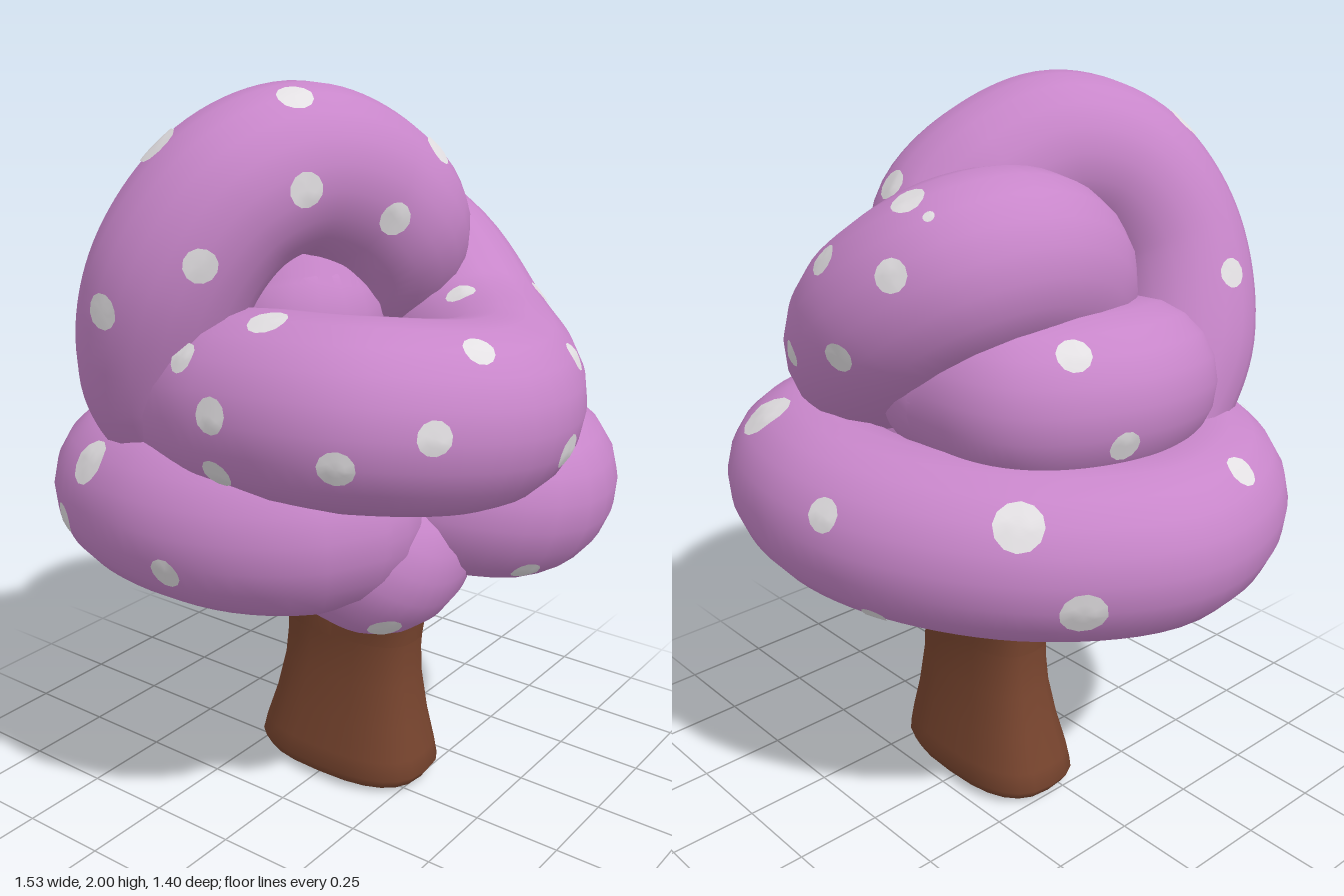
import * as THREE from 'three';

const V = (x, y, z) => new THREE.Vector3(x, y, z);

// Skin through rounded cross-sections: [y, centreX, halfX, halfZ]
function loft(rows, sides = 24) {
  const pos = [], idx = [];
  const soft = (c) => Math.sign(c) * Math.pow(Math.abs(c), 0.75);
  rows.forEach(([y, cx, hx, hz], i) => {
    for (let j = 0; j < sides; j++) {
      const a = (j / sides) * Math.PI * 2;
      pos.push(cx + hx * soft(Math.cos(a)), y, -0.06 + hz * soft(Math.sin(a)));
      if (i === rows.length - 1) continue;
      const p = i * sides + j, q = i * sides + ((j + 1) % sides);
      idx.push(p, p + sides, q, q, p + sides, q + sides);
    }
  });
  const g = new THREE.BufferGeometry();
  g.setAttribute('position', new THREE.Float32BufferAttribute(pos, 3));
  g.setIndex(idx);
  g.computeVertexNormals();
  return g;
}

export function createModel() {
  const model = new THREE.Group();
  model.name = 'coiledTree';
  const mat = (name, color) => {
    const m = new THREE.MeshStandardMaterial({ color });
    m.name = name;
    return m;
  };
  const bark = mat('bark brown', 0x77442e);
  const purple = mat('foliage purple', 0xc886ca);
  const pale = mat('spot pale grey', 0xe2dfe2);

  const add = (parent, name, geo, material) => {
    const m = new THREE.Mesh(geo, material);
    m.name = name;
    parent.add(m);
    return m;
  };

  // Trunk: a flared base that splits into two short prongs sharing its top section
  const trunk = new THREE.Group();
  trunk.name = 'trunk';
  model.add(trunk);
  const fork = [0.45, 0.029, 0.213, 0.116];
  add(trunk, 'trunkBase', loft([
    [0, 0.01, 0, 0], [0.004, 0.01, 0.22, 0.13], [0.015, 0.01, 0.26, 0.155], [0.045, 0.01, 0.28, 0.168],
    [0.1, 0.012, 0.268, 0.16], [0.2, 0.018, 0.24, 0.14], [0.32, 0.024, 0.217, 0.122], [0.4, 0.027, 0.212, 0.116], fork,
  ]), bark);
  add(trunk, 'leftProng', loft([
    fork, [0.5, 0.064, 0.184, 0.116], [0.54, 0.1275, 0.1275, 0.116], [0.57, 0.168, 0.094, 0.117],
    [0.62, 0.19, 0.09, 0.119], [0.74, 0.225, 0.085, 0.118], [0.8, 0.23, 0.08, 0.11], [0.8, 0.23, 0, 0],
  ]), bark);
  add(trunk, 'rightProng', loft([
    fork, [0.5, 0.0015, 0.188, 0.116], [0.54, -0.0375, 0.1525, 0.116], [0.57, -0.059, 0.134, 0.117],
    [0.62, -0.076, 0.124, 0.119], [0.75, -0.08, 0.122, 0.12], [0.84, -0.08, 0.115, 0.11], [0.84, -0.08, 0, 0],
  ]), bark);

  // Fat coiled foliage tubes with rounded ends
  const foliage = new THREE.Group();
  foliage.name = 'foliage';
  model.add(foliage);
  function coil(name, r, pts) {
    const curve = new THREE.CatmullRomCurve3(pts.map((p) => V(...p)));
    const g = new THREE.Group();
    g.name = name;
    foliage.add(g);
    add(g, name + 'Tube', new THREE.TubeGeometry(curve, 72, r, 20), purple);
    for (const t of [0, 1]) {
      const end = add(g, name + 'End', new THREE.SphereGeometry(r, 20, 14), purple);
      end.position.copy(curve.getPoint(t));
    }
  }
  coil('bottomCoil', 0.231, [
    [0.12, 1.0, 0.02], [0.35, 0.97, -0.01], [0.485, 0.935, -0.16], [0.42, 0.93, -0.36], [0.15, 0.935, -0.47],
    [-0.12, 0.93, -0.43], [-0.39, 0.92, -0.25], [-0.538, 0.91, 0.04], [-0.43, 0.912, 0.335], [-0.15, 0.935, 0.463],
    [0.06, 0.943, 0.455], [0.2, 0.95, 0.375], [0.22, 0.95, 0.3],
  ]);
  coil('lowerCoil', 0.22, [
    [0.2, 0.9, 0.26], [0.27, 0.82, 0.17], [0.22, 0.84, 0.0], [0.05, 0.9, -0.14], [-0.15, 0.94, -0.12],
  ]);
  coil('leftCoil', 0.22, [
    [-0.2, 1.2, 0.28], [-0.3, 1.24, 0.18], [-0.335, 1.26, 0.0], [-0.25, 1.26, -0.16], [-0.05, 1.27, -0.2],
  ]);
  coil('middleCoil', 0.235, [
    [-0.14, 1.2, 0.34], [0.08, 1.25, 0.425], [0.35, 1.265, 0.395], [0.525, 1.24, 0.17], [0.48, 1.235, -0.03],
    [0.28, 1.285, -0.24], [0.06, 1.45, -0.335], [-0.09, 1.565, -0.26], [-0.14, 1.585, -0.12], [-0.12, 1.52, 0.03],
    [-0.05, 1.38, 0.1],
  ]);
  coil('topLoop', 0.21, [
    [-0.25, 1.1, 0.31], [-0.235, 1.3, 0.43], [-0.145, 1.55, 0.46], [-0.05, 1.73, 0.36], [0.03, 1.79, 0.2],
    [0.09, 1.73, 0.03], [0.12, 1.63, -0.08], [0.07, 1.55, -0.12], [-0.05, 1.49, -0.1],
  ]);
  foliage.updateMatrixWorld(true);

  // Spots: thin discs draped over a coil, found by casting inward from one side
  const spots = new THREE.Group();
  spots.name = 'spots';
  model.add(spots);
  const ray = new THREE.Raycaster();
  const cast = (target, from, dir) => {
    ray.set(from, dir);
    return ray.intersectObject(target, true)[0];
  };
  function spot(across, out, [a, b, r], up) {
    const from = out.clone().multiplyScalar(5).addScaledVector(across, a).addScaledVector(up, b);
    const hit = cast(foliage, from, out.clone().negate());
    if (!hit) return;
    const n = hit.face.normal.clone();
    const u = V(0.31, 0.87, 0.38).cross(n).normalize();
    const v = n.clone().cross(u);
    const pos = [...hit.point.clone().addScaledVector(n, 0.005).toArray()], idx = [];
    const sides = 12;
    for (let ring = 1; ring <= 2; ring++) {
      for (let j = 0; j < sides; j++) {
        const t = (j / sides) * Math.PI * 2, d = (r * ring) / 2;
        const p = hit.point.clone().addScaledVector(u, d * Math.cos(t)).addScaledVector(v, d * Math.sin(t));
        const h = cast(hit.object, p.clone().addScaledVector(n, 0.04), n.clone().negate());
        const q = h && h.distance < 0.08 ? h.point : p;
        pos.push(...q.clone().addScaledVector(n, 0.005).toArray());
        const k = (j + 1) % sides;
        if (ring === 1) idx.push(0, 1 + j, 1 + k);
        else idx.push(1 + j, 13 + j, 13 + k, 1 + j, 13 + k, 1 + k);
      }
    }
    const g = new THREE.BufferGeometry();
    g.setAttribute('position', new THREE.Float32BufferAttribute(pos, 3));
    g.setIndex(idx);
    g.computeVertexNormals();
    add(spots, 'spot', g, pale);
  }
  const Y = V(0, 1, 0), h = Math.SQRT1_2;
  // Front
  [[-0.15, 1.86, 0.055], [-0.18, 1.49, 0.045], [0.045, 1.61, 0.042], [0, 1.39, 0.04],
    [0.14, 1.29, 0.045], [0.45, 1.21, 0.045], [0.62, 1.28, 0.042], [0.62, 1.44, 0.04], [0.13, 1.14, 0.042],
    [-0.33, 1.06, 0.063], [-0.44, 0.88, 0.042], [0, 0.87, 0.042], [0.38, 0.68, 0.045], [0.6, 0.78, 0.04],
    [-0.55, 0.72, 0.045],
  ].forEach((s) => spot(V(1, 0, 0), V(0, 0, 1), s, Y));
  // Left side
  [[0.36, 1.77, 0.043], [0.12, 1.68, 0.043], [-0.08, 1.82, 0.042], [0.08, 1.17, 0.045], [-0.06, 1.36, 0.038],
    [-0.24, 1.14, 0.03], [-0.35, 0.78, 0.04], [-0.6, 0.79, 0.04],
  ].forEach((s) => spot(V(0, 0, 1), V(1, 0, 0), s, Y));
  // Top
  [[-0.49, -0.4, 0.063], [0.38, -0.53, 0.075], [-0.07, -0.66, 0.045], [-0.43, -0.17, 0.045], [-0.15, -0.49, 0.042],
    [0.09, -0.51, 0.042], [-0.08, -0.38, 0.045], [-0.17, -0.39, 0.015], [0.44, -0.33, 0.042], [0.35, -0.07, 0.04],
    [0.15, -0.25, 0.042], [0.1, 0.29, 0.045], [-0.66, 0.2, 0.045], [0.18, 0.5, 0.05], [-0.39, 0.45, 0.04],
  ].forEach((s) => spot(V(1, 0, 0), Y, s, V(0, 0, 1)));
  // Back right corner
  [[0.22, 0.86, 0.06], [-0.38, 1.4, 0.04], [-0.53, 1.35, 0.035], [0.31, 1.2, 0.042], [-0.3, 0.77, 0.035],
  ].forEach((s) => spot(V(-h, 0, h), V(-h, 0, -h), s, Y));
  // Underside, from the back left
  [[-0.275, 0.587, 0.04], [0.38, 0.847, 0.038], [0.34, 0.46, 0.04],
  ].forEach((s) => spot(V(-h, 0, -h), V(0.612, -0.5, -0.612), s, V(0.354, 0.866, -0.354)));

  return model;
}
